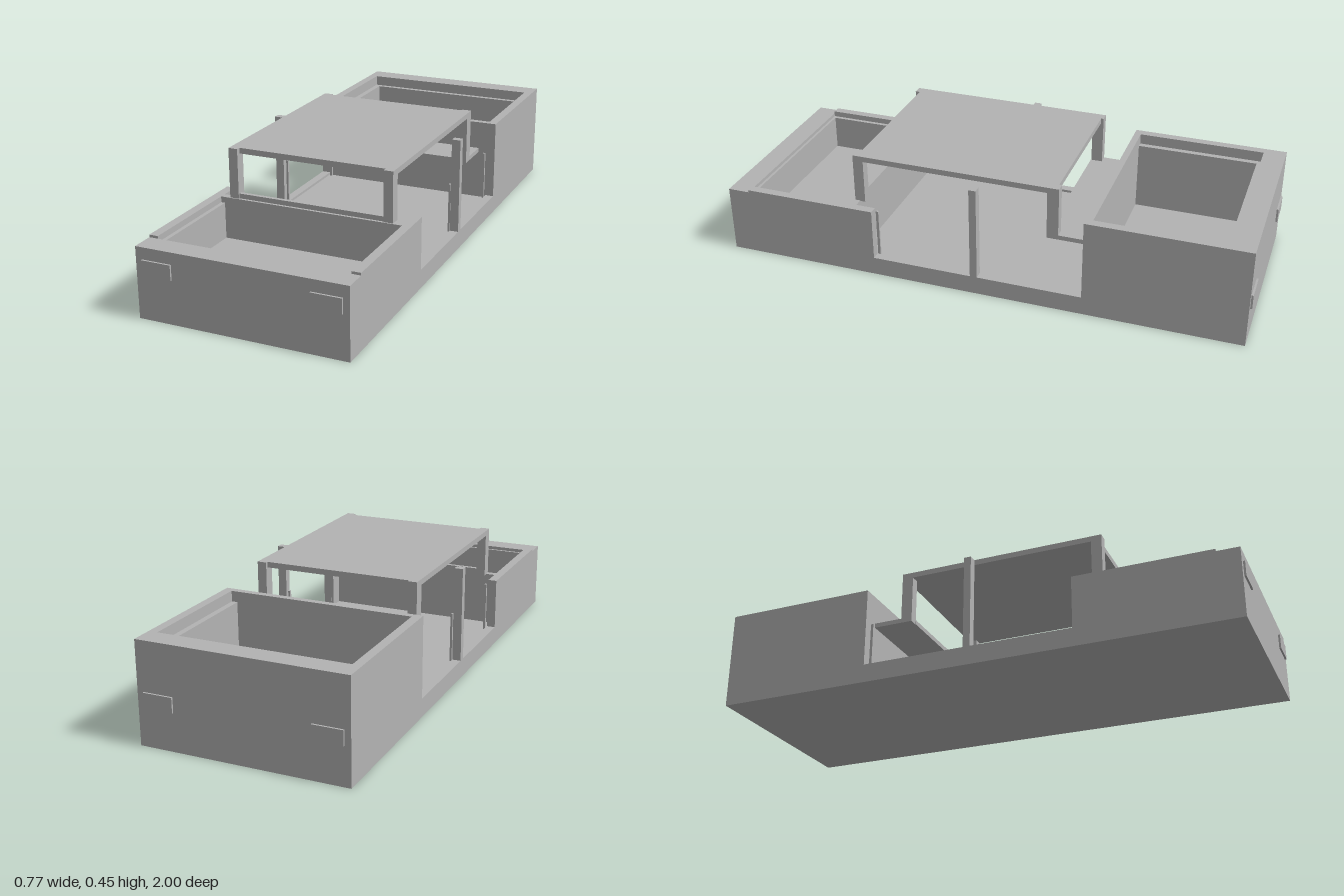
import * as THREE from 'three';

const grey = new THREE.MeshStandardMaterial({ color: 0xb3b3b3 });
grey.name = 'body grey';

export function createModel() {
  const model = new THREE.Group();
  model.name = 'carBody';

  // Box given by its lower and upper limits on each axis
  function box(name, x0, x1, y0, y1, z0, z1) {
    const mesh = new THREE.Mesh(new THREE.BoxGeometry(x1 - x0, y1 - y0, z1 - z0), grey);
    mesh.position.set((x0 + x1) / 2, (y0 + y1) / 2, (z0 + z1) / 2);
    mesh.name = name;
    model.add(mesh);
  }
  // Same box on the left and right sides
  function pair(name, x0, x1, ...rest) {
    box(name + 'Left', x0, x1, ...rest);
    box(name + 'Right', -x1, -x0, ...rest);
  }
  // Box centred across the width
  const across = (name, halfWidth, ...rest) => box(name, -halfWidth, halfWidth, ...rest);

  const W = 0.383, IN = 0.35, END = 0.993, FLOOR = 0.06;

  // Floor pan and door sills
  across('floorPan', W, 0, FLOOR, -END, END);
  pair('doorSill', IN, W, FLOOR, 0.07, -0.405, 0.4);

  // Engine bay: walls, nose, floor and hood ledge
  pair('frontFender', IN, W, FLOOR, 0.267, 0.4, 0.91);
  across('nose', W, FLOOR, 0.258, 0.91, END);
  across('firewall', IN, FLOOR, 0.267, 0.475, 0.5);
  across('engineBayFloor', IN, FLOOR, 0.11, 0.5, 0.91);
  pair('hoodLedge', 0.335, IN, 0.11, 0.245, 0.5, 0.91);
  across('hoodLedgeFront', 0.335, 0.11, 0.245, 0.9, 0.91);

  // Trunk: walls, floor and lid ledge
  pair('rearFender', IN, W, FLOOR, 0.375, -0.91, -0.405);
  across('tail', W, FLOOR, 0.375, -END, -0.91);
  across('rearBulkhead', IN, FLOOR, 0.375, -0.43, -0.405);
  across('trunkFloor', IN, FLOOR, 0.07, -0.91, -0.43);
  pair('trunkLedge', 0.328, IN, 0.07, 0.335, -0.91, -0.43);
  across('trunkLedgeRear', 0.328, 0.07, 0.335, -0.91, -0.89);

  // Cabin: shelf, roof and its pillars
  across('parcelShelf', 0.315, 0.25, 0.267, -0.405, -0.295);
  across('parcelShelfEdge', 0.28, 0.25, 0.267, -0.295, -0.25);
  across('windscreenSill', 0.28, 0.267, 0.285, 0.475, 0.49);
  across('roof', 0.28, 0.432, 0.453, -0.285, 0.478);
  pair('roofSide', 0.28, 0.315, 0.432, 0.453, -0.295, 0.495);
  pair('frontPillar', 0.28, 0.315, 0.265, 0.432, 0.455, 0.495);
  pair('rearPillar', 0.28, 0.315, 0.25, 0.432, -0.295, -0.252);
  pair('centrePillar', IN, W, 0.07, 0.43, -0.01, 0.017);

  // Thin door seals inside the openings
  for (const z of [-0.4, 0, 0.395]) {
    pair('doorSeal', 0.337, 0.345, FLOOR, 0.25, z - 0.005, z + 0.005);
  }

  // Lamp plates
  pair('headlamp', 0.25, 0.36, 0.16, 0.215, END, 1);
  pair('tailLamp', 0.25, 0.36, 0.14, 0.195, -1, -END);

  return model;
}
